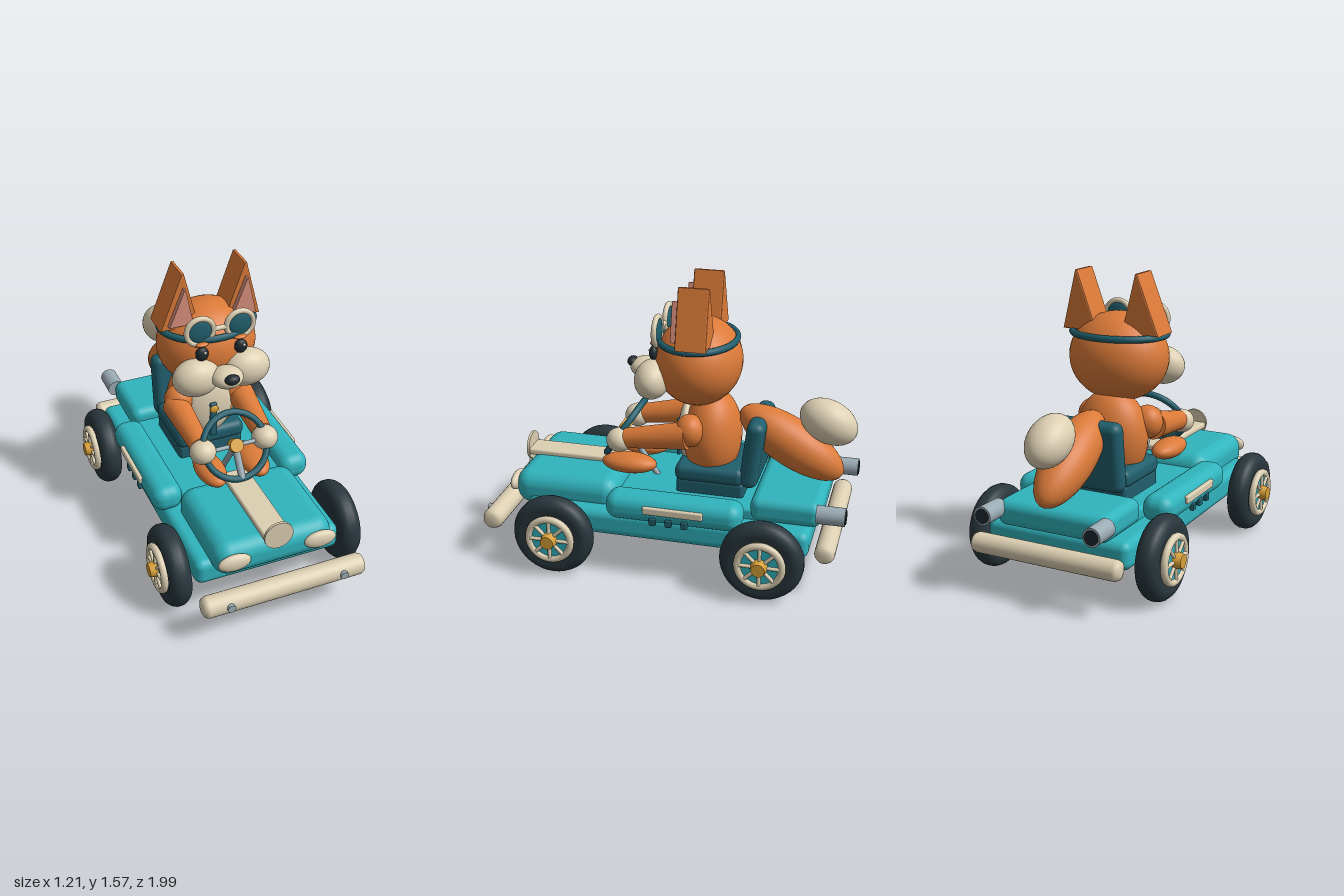
import * as THREE from 'three';
import { RoundedBoxGeometry } from 'three/addons/geometries/RoundedBoxGeometry.js';

const paint = (name, color) => {
  const m = new THREE.MeshStandardMaterial({ color });
  m.name = name;
  return m;
};

export function createModel() {
  const teal = paint('body teal', 0x30b4bd), navy = paint('dark teal', 0x205f6d);
  const cream = paint('cream', 0xdccfb2), orange = paint('orange fur', 0xdb7a38);
  const rubber = paint('tyre', 0x28363c), gold = paint('gold', 0xd8a036);
  const steel = paint('steel', 0x9aabb3), pink = paint('inner ear pink', 0xd98f7c);
  const black = paint('eye black', 0x1f2a30);

  const model = new THREE.Group();
  model.name = 'foxKart';

  const add = (name, geo, mat, x = 0, y = 0, z = 0, parent = model) => {
    const m = new THREE.Mesh(geo, mat);
    m.name = name;
    m.position.set(x, y, z);
    parent.add(m);
    return m;
  };
  // Rounded box given by its extents
  const block = (name, mat, x0, x1, y0, y1, z0, z1, r) =>
    add(name, new RoundedBoxGeometry(x1 - x0, y1 - y0, z1 - z0, 5, r), mat,
      (x0 + x1) / 2, (y0 + y1) / 2, (z0 + z1) / 2);
  const ball = (name, mat, x, y, z, rx, ry = rx, rz = rx) => {
    const m = add(name, new THREE.SphereGeometry(1, 32, 24), mat, x, y, z);
    m.scale.set(rx, ry, rz);
    return m;
  };
  // Cylinder between two points
  const rod = (name, mat, a, b, ra, rb = ra, parent = model) => {
    const p = new THREE.Vector3(...a), q = new THREE.Vector3(...b), d = q.clone().sub(p);
    const m = add(name, new THREE.CylinderGeometry(rb, ra, d.length(), 24), mat,
      (a[0] + b[0]) / 2, (a[1] + b[1]) / 2, (a[2] + b[2]) / 2, parent);
    m.quaternion.setFromUnitVectors(new THREE.Vector3(0, 1, 0), d.normalize());
    return m;
  };
  const sides = [1, -1];

  // Car body
  block('chassis', teal, -0.41, 0.41, 0.2, 0.35, -0.81, 0.75, 0.045);
  block('hood', teal, -0.33, 0.33, 0.28, 0.48, 0.25, 0.84, 0.085);
  block('rearDeck', teal, -0.32, 0.32, 0.34, 0.48, -0.86, -0.48, 0.05);
  block('cockpitFloor', teal, -0.3, 0.3, 0.3, 0.41, -0.52, 0.3, 0.02);
  block('hoodStripe', cream, -0.073, 0.073, 0.47, 0.507, 0.27, 0.85, 0.012);
  rod('noseDisc', cream, [0, 0.502, 0.838], [0, 0.502, 0.852], 0.08);

  // Bumpers with rounded ends
  for (const [name, half, y, z, r] of [['frontBumper', 0.455, 0.232, 0.928, 0.058], ['rearBumper', 0.425, 0.25, -0.897, 0.054]]) {
    const c = 0.03;
    const pts = [[0, -half], [r - c, -half], [r - c * 0.3, -half + c * 0.3], [r, -half + c],
      [r, half - c], [r - c * 0.3, half - c * 0.3], [r - c, half], [0, half]];
    const m = add(name, new THREE.LatheGeometry(pts.map(p => new THREE.Vector2(...p)), 28), cream, 0, y, z);
    m.rotation.z = -Math.PI / 2;
  }

  for (const s of sides) {
    ball('headlight', cream, s * 0.24, 0.397, 0.845, 0.09, 0.05, 0.03);
    rod('bumperBolt', steel, [s * 0.317, 0.24, 0.95], [s * 0.317, 0.24, 0.997], 0.022);
    block('sidePod', teal, Math.min(s * 0.29, s * 0.46), Math.max(s * 0.29, s * 0.46), 0.325, 0.475, -0.46, 0.28, 0.065);
    add('podTrim', new RoundedBoxGeometry(0.025, 0.042, 0.325, 3, 0.008), cream, s * 0.463, 0.415, -0.1);
    for (const z of [0.01, -0.077, -0.163])
      add('podVent', new RoundedBoxGeometry(0.025, 0.042, 0.036, 2, 0.006), navy, s * 0.455, 0.35, z);
    // Exhaust
    rod('exhaustPipe', steel, [s * 0.31, 0.432, -0.835], [s * 0.31, 0.432, -0.985], 0.049);
    rod('exhaustMouth', black, [s * 0.31, 0.432, -0.98], [s * 0.31, 0.432, -0.99], 0.038);
  }

  // Wheels, built facing +x and turned round for the other side
  const tyreProfile = [[0, -0.05], [0.13, -0.052], [0.165, -0.062], [0.195, -0.055], [0.213, -0.036], [0.222, -0.015],
    [0.222, 0.015], [0.213, 0.036], [0.195, 0.055], [0.165, 0.062], [0.13, 0.052], [0, 0.05]];
  const tyreGeo = new THREE.LatheGeometry(tyreProfile.map(p => new THREE.Vector2(...p)), 40);
  for (const z of [0.553, -0.585]) {
    rod('axle', steel, [-0.45, 0.222, z], [0.45, 0.222, z], 0.03);
    for (const s of sides) {
      const w = new THREE.Group();
      w.name = 'wheel';
      w.position.set(s * 0.488, 0.222, z);
      if (s < 0) w.rotation.y = Math.PI;
      model.add(w);
      add('tyre', tyreGeo, rubber, 0, 0, 0, w).rotation.z = -Math.PI / 2;
      const rim = add('rim', new THREE.TorusGeometry(0.117, 0.02, 10, 40), cream, 0.067, 0, 0, w);
      rim.rotation.y = Math.PI / 2;
      rod('wheelDisc', teal, [0.04, 0, 0], [0.072, 0, 0], 0.11, 0.11, w);
      for (let i = 0; i < 8; i++) {
        const a = i * Math.PI / 4, c = Math.cos(a), n = Math.sin(a);
        rod('wheelSpoke', cream, [0.076, c * 0.03, n * 0.03], [0.076, c * 0.11, n * 0.11], 0.01, 0.01, w);
      }
      rod('hubCap', gold, [0.07, 0, 0], [0.115, 0, 0], 0.046, 0.036, w);
    }
  }

  // Seat
  block('seatBase', navy, -0.19, 0.19, 0.39, 0.49, -0.42, -0.05, 0.02);
  block('seatCushion', navy, -0.2, 0.2, 0.47, 0.57, -0.42, -0.04, 0.04);
  const back = add('seatBack', new RoundedBoxGeometry(0.4, 0.38, 0.1, 5, 0.045), navy, 0, 0.655, -0.46);
  back.rotation.x = -0.11;

  // Steering wheel
  const steer = new THREE.Group();
  steer.name = 'steeringWheel';
  steer.position.set(0, 0.68, 0.285);
  steer.rotation.x = -0.585;
  model.add(steer);
  add('steeringRim', new THREE.TorusGeometry(0.18, 0.018, 12, 48), navy, 0, 0, 0, steer);
  for (const [x, y] of [[0.17, 0], [-0.17, 0], [0, -0.18]])
    rod('steeringSpoke', steel, [0, 0, 0], [x, y, 0], y ? 0.02 : 0.012, y ? 0.02 : 0.012, steer);
  rod('steeringHub', gold, [0, 0, -0.025], [0, 0, 0.03], 0.038, 0.038, steer);
  rod('steeringColumn', steel, [0, 0.67, 0.28], [0, 0.4, 0.1], 0.016);

  // Torso, chest and tie
  ball('torso', orange, 0, 0.69, -0.21, 0.2, 0.26, 0.16);
  ball('chest', cream, 0, 0.71, -0.075, 0.13, 0.17, 0.05);
  block('tie', navy, -0.02, 0.02, 0.545, 0.76, -0.035, -0.01, 0.008);
  ball('tiePin', gold, 0, 0.725, -0.012, 0.025, 0.025, 0.012);

  // Arms, hands and legs
  for (const s of sides) {
    ball('shoulder', orange, s * 0.165, 0.765, -0.12, 0.085, 0.09, 0.08);
    rod('arm', orange, [s * 0.19, 0.745, -0.11], [s * 0.18, 0.69, 0.23], 0.076, 0.055);
    ball('hand', cream, s * 0.18, 0.676, 0.268, 0.072, 0.066, 0.072);
    ball('leg', orange, s * 0.125, 0.52, 0.23, 0.08, 0.055, 0.155);
  }

  // Tail
  ball('tail', orange, 0, 0.685, -0.645, 0.13, 0.13, 0.325).rotation.x = -0.53;
  ball('tailTip', cream, 0, 0.825, -0.838, 0.112, 0.115, 0.163).rotation.x = -0.45;

  // Head and face
  ball('head', orange, 0, 1.11, -0.13, 0.275, 0.24, 0.235);
  ball('muzzle', cream, 0, 1.045, 0.165, 0.088, 0.055, 0.085);
  ball('nose', black, 0, 1.07, 0.238, 0.042, 0.027, 0.03);
  for (const s of sides) {
    ball('cheek', cream, s * 0.143, 1.032, 0.09, 0.132, 0.106, 0.095);
    ball('eye', black, s * 0.11, 1.168, 0.09, 0.036, 0.04, 0.025);
    ball('eyeGlint', cream, s * 0.11 + 0.01, 1.183, 0.111, 0.008, 0.008, 0.005);
    ball('brow', orange, s * 0.108, 1.224, 0.09, 0.036, 0.011, 0.018);
  }

  // Ears: a bevelled wedge with a thin pink inset
  const wedge = (pts, depth, bevel) => new THREE.ExtrudeGeometry(
    new THREE.Shape(pts.map(p => new THREE.Vector2(...p))),
    { depth, bevelEnabled: true, bevelThickness: bevel, bevelSize: bevel, bevelOffset: -bevel, bevelSegments: 2 });
  for (const [a, b, t] of [[-0.28, -0.065, -0.15], [0.08, 0.285, 0.202]]) {
    add('ear', wedge([[a, 1.25], [b, 1.25], [t + 0.007, 1.565], [t - 0.007, 1.565]], 0.15, 0.008), orange, 0, 0, -0.222);
    const m = (a + b) / 2;
    add('innerEar', wedge([[m - 0.068, 1.28], [m + 0.068, 1.28], [t + 0.004, 1.488], [t - 0.004, 1.488]], 0.025, 0.004), pink, 0, 0, -0.062);
  }

  // Goggles and strap
  const strap = add('goggleStrap', new THREE.TorusGeometry(0.25, 0.019, 12, 56), navy, 0, 1.237, -0.125);
  strap.rotation.x = Math.PI / 2;
  strap.scale.set(1.04, 0.83, 1);
  for (const s of sides) {
    add('goggleRim', new THREE.TorusGeometry(0.075, 0.015, 12, 40), cream, s * 0.112, 1.292, 0.07);
    ball('goggleLens', navy, s * 0.112, 1.292, 0.068, 0.07, 0.07, 0.018);
  }
  rod('goggleBridge', cream, [-0.04, 1.292, 0.07], [0.04, 1.292, 0.07], 0.014);

  return model;
}
